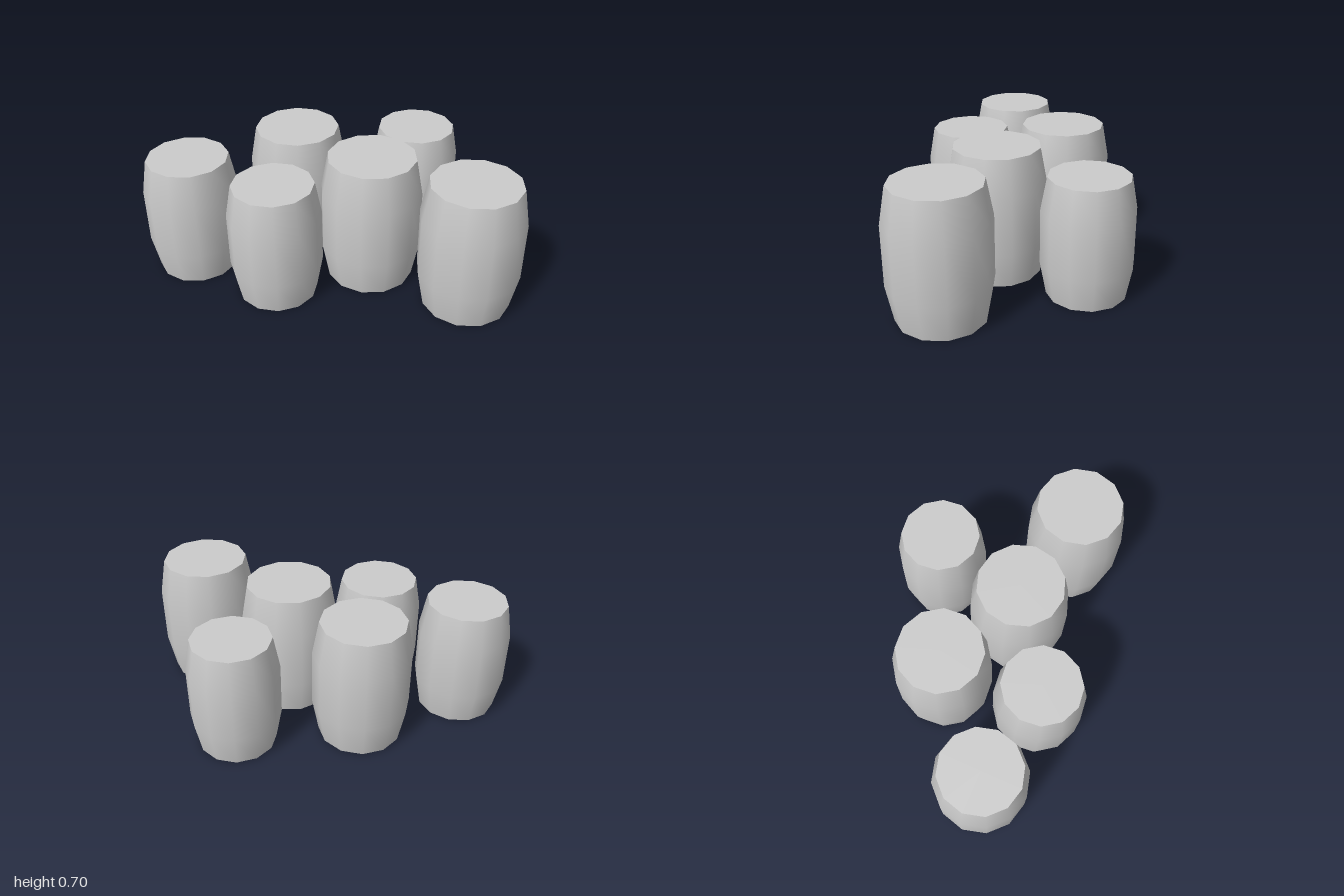
import * as THREE from 'three';
import { mergeGeometries } from 'three/addons/utils/BufferGeometryUtils.js';

const SIDES = 12;
const END_RADIUS = 0.327;
const BELLY_RADIUS = 0.378;

// One barrel of unit height: smooth bulging wall with two flat lids
function barrelGeometry() {
  const profile = [
    [END_RADIUS, 0], [BELLY_RADIUS, 0.275], [BELLY_RADIUS, 0.725], [END_RADIUS, 1],
  ].map(([r, y]) => new THREE.Vector2(r, y));
  const wall = new THREE.LatheGeometry(profile, SIDES);
  const lid = new THREE.CircleGeometry(END_RADIUS, SIDES).rotateX(-Math.PI / 2).translate(0, 1, 0);
  const base = new THREE.CircleGeometry(END_RADIUS, SIDES).rotateX(Math.PI / 2);
  return mergeGeometries([wall, lid, base]);
}

export function createModel() {
  const group = new THREE.Group();
  group.name = 'barrelCluster';
  const geometry = barrelGeometry();
  const material = new THREE.MeshStandardMaterial({ color: 0xcccccc });

  // x, z, height, turn in degrees
  const barrels = [
    [0.73, 0.2, 0.705, 0],
    [0.182, 0.1, 0.705, 5],
    [0.294, -0.417, 0.64, -8],
    [-0.305, -0.122, 0.69, -9],
    [-0.754, 0.311, 0.655, 1.5],
    [-0.24, 0.407, 0.64, -8],
  ];
  barrels.forEach(([x, z, height, turn], i) => {
    const barrel = new THREE.Mesh(geometry, material);
    barrel.name = `barrel${i + 1}`;
    barrel.position.set(x, 0, z);
    barrel.scale.setScalar(height);
    barrel.rotation.y = THREE.MathUtils.degToRad(turn);
    group.add(barrel);
  });
  return group;
}
